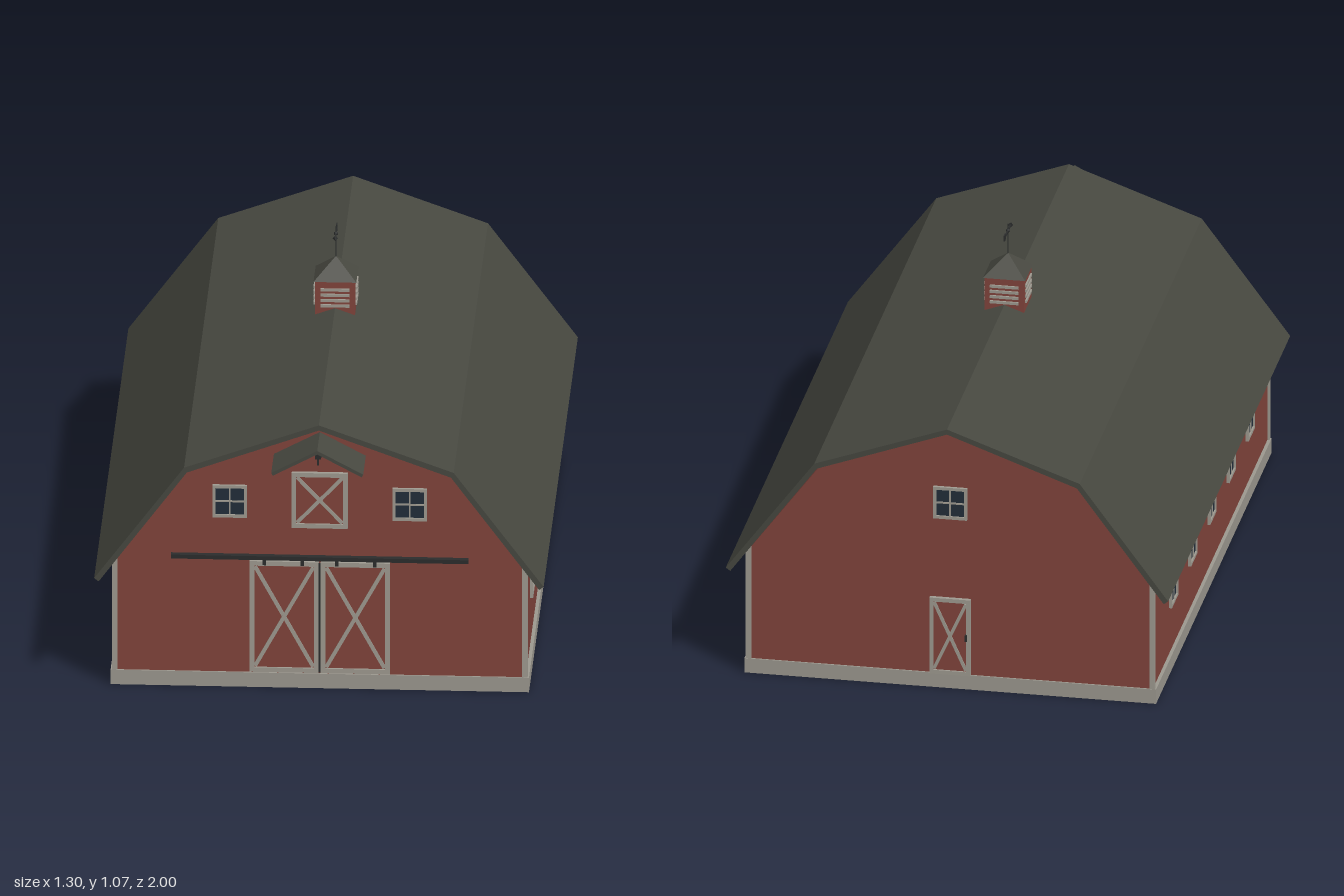
import * as THREE from 'three';

const mat = (name, color, side = THREE.FrontSide) => {
  const m = new THREE.MeshStandardMaterial({ color, side });
  m.name = name;
  return m;
};

export function createModel() {
  const red = mat('barn red', 0x81443c);
  const trim = mat('weathered trim', 0x9f9b91);
  const stone = mat('foundation', 0x9c988f);
  const roofing = mat('roof shingles', 0x474840);
  const glass = mat('window glass', 0x222e3a);
  const iron = mat('dark iron', 0x2b2d2d);

  const MID = -0.045; // middle of the building along z
  const barn = new THREE.Group();
  barn.name = 'barn';

  const add = (parent, name, geo, material, x = 0, y = 0, z = 0) => {
    const m = new THREE.Mesh(geo, material);
    m.name = name;
    m.position.set(x, y, z);
    parent.add(m);
    return m;
  };
  const box = (parent, name, material, w, h, d, x, y, z) =>
    add(parent, name, new THREE.BoxGeometry(w, h, d), material, x, y, z);
  const group = (parent, name, x = 0, y = 0, z = 0, turn = 0) => {
    const g = new THREE.Group();
    g.name = name;
    g.position.set(x, y, z);
    g.rotation.y = turn;
    parent.add(g);
    return g;
  };
  const extrude = (pts, z0, z1) => {
    const shape = new THREE.Shape(pts.map(p => new THREE.Vector2(...p)));
    const g = new THREE.ExtrudeGeometry(shape, { depth: z1 - z0, bevelEnabled: false });
    return g.translate(0, 0, z0);
  };
  // Mirrors a right-half profile, running from eave to ridge, into a full one
  const mirrored = half => [...half, ...half.slice(0, -1).reverse().map(([x, y]) => [-x, y])];
  const band = (outer, inner) => [...mirrored(outer), ...mirrored(inner).reverse()];

  // Foundation, wall body and gambrel roof
  box(barn, 'foundation', stone, 1.21, 0.045, 1.81, 0, 0.0225, MID);
  add(barn, 'walls', extrude(mirrored([[0.595, 0.04], [0.595, 0.385], [0.378, 0.676], [0, 0.814]]), -0.945, 0.855), red);
  add(barn, 'roof', extrude(band(
    [[0.65, 0.35], [0.39, 0.7], [0, 0.84]],
    [[0.637, 0.34], [0.382, 0.685], [0, 0.824]]), -1, 0.91), roofing);

  // Corner boards
  for (const x of [-1, 1]) for (const z of [-1, 1])
    box(barn, 'cornerBoard', trim, 0.016, 0.355, 0.014, x * 0.593, 0.2225, MID + z * 0.897);

  // Rectangular frame lying on a wall, local z pointing outward
  const frame = (g, w, h, t, d) => {
    for (const s of [-1, 1]) {
      box(g, 'frameStile', trim, t, h, d, s * (w - t) / 2, 0, d / 2);
      box(g, 'frameRail', trim, w - 2 * t, t, d, 0, s * (h - t) / 2, d / 2);
    }
  };
  const windowAt = (wall, x, y) => {
    const g = group(wall, 'window', x, y, 0);
    box(g, 'glass', glass, 0.094, 0.094, 0.004, 0, 0, 0.002);
    frame(g, 0.1, 0.1, 0.009, 0.009);
    box(g, 'mullion', trim, 0.005, 0.084, 0.006, 0, 0, 0.004);
    box(g, 'muntin', trim, 0.084, 0.005, 0.006, 0, 0, 0.004);
  };
  const bracedDoor = (wall, name, w, h, x, y, t) => {
    const g = group(wall, name, x, y, 0);
    box(g, 'panel', red, w - 0.004, h - 0.004, 0.006, 0, 0, 0.003);
    frame(g, w, h, t, 0.012);
    const iw = w - 2 * t, ih = h - 2 * t;
    for (const s of [-1, 1]) {
      const brace = box(g, 'brace', trim, Math.hypot(iw, ih) - t * 0.6, t * 0.8, 0.004, 0, 0, 0.0075 + s * 0.0005);
      brace.rotation.z = s * Math.atan2(ih, iw);
    }
    return g;
  };

  // Front wall: sliding doors on a track, hay door and windows
  const front = group(barn, 'frontWall', 0, 0, 0.855);
  for (const s of [-1, 1]) {
    bracedDoor(front, 'slidingDoor', 0.2, 0.345, s * 0.103, 0.2225, 0.014);
    windowAt(front, s * 0.26, 0.578);
    for (const x of [0.05, 0.16]) box(front, 'trackHanger', iron, 0.01, 0.022, 0.006, s * x, 0.396, 0.014);
  }
  box(front, 'doorGap', iron, 0.006, 0.34, 0.004, 0, 0.22, 0.004);
  box(front, 'doorTrack', iron, 0.86, 0.012, 0.018, 0, 0.407, 0.009);
  bracedDoor(front, 'hayDoor', 0.162, 0.172, 0, 0.587, 0.013);

  // Hay hood with its hoist
  add(front, 'hayHood', extrude(band(
    [[0.133, 0.726], [0, 0.797]],
    [[0.129, 0.717], [0, 0.786]]), 0, 0.145), roofing);
  box(front, 'hoistBeam', iron, 0.012, 0.014, 0.12, 0, 0.777, 0.06);
  box(front, 'pulley', iron, 0.018, 0.02, 0.016, 0, 0.765, 0.1);
  box(front, 'hook', iron, 0.006, 0.024, 0.006, 0, 0.747, 0.1);

  // Back wall: small door and window
  const back = group(barn, 'backWall', 0, 0, -0.945, Math.PI);
  const backDoor = bracedDoor(back, 'backDoor', 0.12, 0.24, 0, 0.165, 0.012);
  box(backDoor, 'handle', iron, 0.006, 0.02, 0.008, 0.048, 0, 0.014);
  windowAt(back, 0, 0.585);

  // Long walls with five windows each
  for (const s of [-1, 1]) {
    const wall = group(barn, s > 0 ? 'leftWall' : 'rightWall', s * 0.595, 0, MID, s * Math.PI / 2);
    for (let i = -2; i <= 2; i++) windowAt(wall, i * 0.3, 0.24);
  }

  // Cupola with louvres on all four sides
  const cupola = group(barn, 'cupola', 0, 0, MID);
  box(cupola, 'cupolaBody', red, 0.116, 0.112, 0.116, 0, 0.867, 0);
  for (let k = 0; k < 4; k++) {
    const side = group(cupola, 'louvres', 0, 0, 0, k * Math.PI / 2);
    for (let i = 0; i < 4; i++)
      box(side, 'slat', trim, 0.084, 0.008, 0.008, 0, 0.848 + i * 0.0165, 0.059);
  }
  const cap = new THREE.ConeGeometry(0.062 * Math.SQRT2, 0.058, 4, 1).toNonIndexed();
  cap.rotateY(Math.PI / 4).computeVertexNormals();
  add(cupola, 'cupolaRoof', cap, roofing, 0, 0.951, 0);

  // Weathervane pointing along the ridge
  const vane = group(cupola, 'weathervane', 0, 1.05, 0);
  add(vane, 'pole', new THREE.CylinderGeometry(0.002, 0.002, 0.1, 6), iron, 0, -0.028, 0);
  add(vane, 'hub', new THREE.SphereGeometry(0.006, 8, 6), iron);
  box(vane, 'arrowShaft', iron, 0.004, 0.004, 0.1, 0, 0, 0);
  const tip = add(vane, 'arrowTip', new THREE.ConeGeometry(0.008, 0.018, 4), iron, 0, 0, 0.047);
  tip.rotation.x = Math.PI / 2;
  box(vane, 'arrowTail', iron, 0.004, 0.018, 0.018, 0, 0, -0.05);

  return barn;
}
